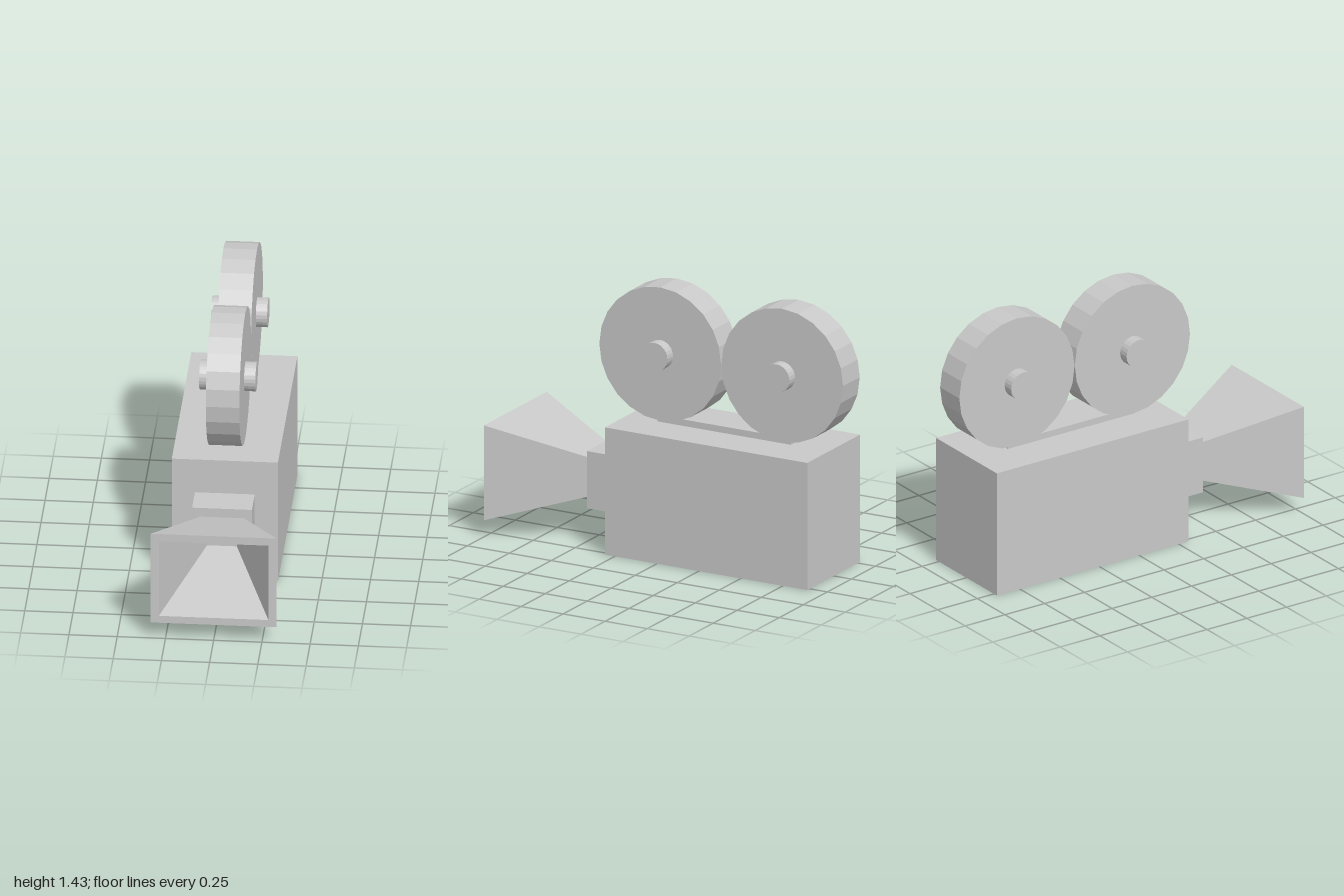
import * as THREE from 'three';

const grey = new THREE.MeshStandardMaterial({ color: 0xc8c8c8, flatShading: true });
grey.name = 'light grey';

function add(group, name, geometry) {
  const mesh = new THREE.Mesh(geometry, grey);
  mesh.name = name;
  group.add(mesh);
  return mesh;
}

// Box given by its limits; x is symmetric about the middle
function box(group, name, halfX, y0, y1, z0, z1) {
  const mesh = add(group, name, new THREE.BoxGeometry(halfX * 2, y1 - y0, z1 - z0));
  mesh.position.set(0, (y0 + y1) / 2, (z0 + z1) / 2);
}

// Hollow rectangular funnel made by joining successive rectangular rings
function hoodGeometry(rings) {
  const corner = ([halfX, y0, y1, z], k) =>
    [k === 0 || k === 3 ? -halfX : halfX, k < 2 ? y0 : y1, z];
  const positions = [];
  for (let i = 0; i < rings.length - 1; i++) {
    for (let k = 0; k < 4; k++) {
      const n = (k + 1) % 4;
      const a = corner(rings[i], k), b = corner(rings[i], n);
      const c = corner(rings[i + 1], n), d = corner(rings[i + 1], k);
      positions.push(...a, ...b, ...c, ...a, ...c, ...d);
    }
  }
  const geometry = new THREE.BufferGeometry();
  geometry.setAttribute('position', new THREE.Float32BufferAttribute(positions, 3));
  geometry.computeVertexNormals();
  return geometry;
}

// Cylinder lying along x
function disc(group, name, radius, width) {
  const geometry = new THREE.CylinderGeometry(radius, radius, width, 24);
  geometry.rotateZ(Math.PI / 2);
  return add(group, name, geometry);
}

export function createModel() {
  const model = new THREE.Group();
  model.name = 'filmCamera';

  // Body, lens mount and the rail under the reels
  box(model, 'body', 0.275, 0, 0.69, -0.895, 0.31);
  box(model, 'lensMount', 0.155, 0.19, 0.5, 0.31, 0.485);
  box(model, 'reelRail', 0.052, 0.69, 0.725, -0.67, 0.125);

  // Lens hood: outer walls, front rim, inner walls
  add(model, 'lensHood', hoodGeometry([
    [0.113, 0.245, 0.45, 0.485],
    [0.327, 0.09, 0.605, 1],
    [0.284, 0.13, 0.562, 1],
    [0.077, 0.286, 0.407, 0.487],
  ]));

  // Two film reels, each with a hub through the middle
  for (const [name, z] of [['frontReel', 0.088], ['rearReel', -0.638]]) {
    const reel = new THREE.Group();
    reel.name = name;
    reel.position.set(0, 1.071, z);
    disc(reel, name + 'Disc', 0.362, 0.174);
    disc(reel, name + 'Hub', 0.077, 0.292);
    model.add(reel);
  }
  return model;
}
